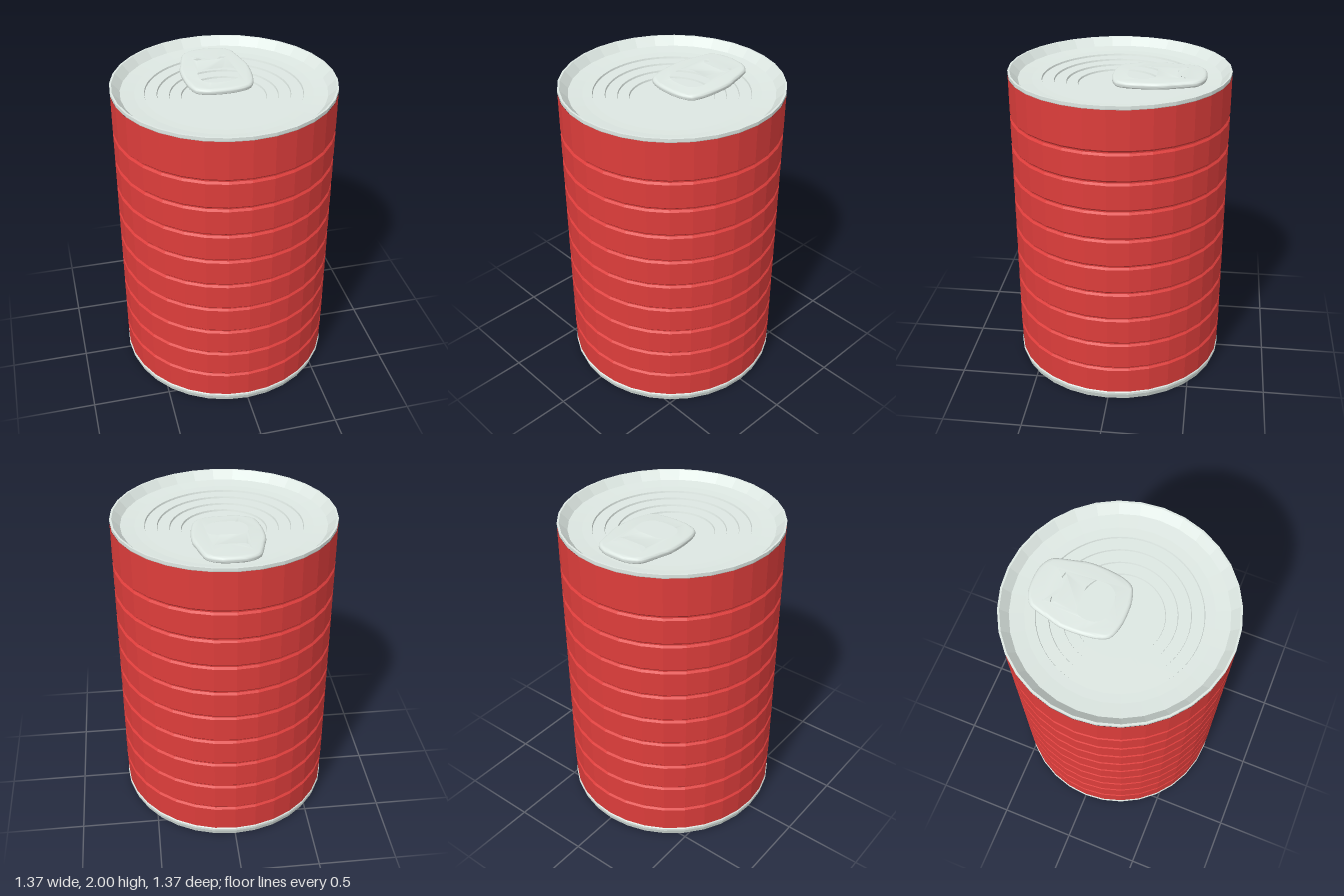
import * as THREE from 'three';
import { toCreasedNormals } from 'three/addons/utils/BufferGeometryUtils.js';

const V = (x, y) => new THREE.Vector2(x, y);

// Faceted surface of revolution from [radius, height] pairs
function turned(name, profile, segments, material) {
  const geometry = new THREE.LatheGeometry(profile.map(([r, y]) => V(r, y)), segments);
  const mesh = new THREE.Mesh(geometry, material);
  mesh.name = name;
  return mesh;
}

// Closed smooth outline mirrored across x = 0, from the points of its +x half
function mirroredLoop(half) {
  const left = half.filter(([x]) => x > 0).reverse().map(([x, y]) => [-x, y]);
  const points = [...half, ...left].map(([x, y]) => new THREE.Vector3(x, y, 0));
  return new THREE.CatmullRomCurve3(points, true, 'centripetal')
    .getPoints(56).slice(0, -1).map((p) => V(p.x, p.y));
}

export function createModel() {
  const can = new THREE.Group();
  can.name = 'tinCan';
  const red = new THREE.MeshStandardMaterial({ color: 0xdd3d3b, flatShading: true });
  const metal = new THREE.MeshStandardMaterial({ color: 0xdde7e2, flatShading: true });
  const tabMetal = new THREE.MeshStandardMaterial({ color: 0xdde7e2 });

  // Red wall with nine evenly spaced grooves
  const wall = [[0.68, 0.055]];
  for (let i = 0; i < 9; i++) {
    const y = 0.24 + i * 0.185;
    wall.push([0.685, y - 0.016], [0.674, y - 0.004], [0.674, y + 0.004], [0.685, y + 0.016]);
  }
  wall.push([0.685, 1.977]);
  can.add(turned('wall', wall, 32, red));

  // Top rim and sloping ledge of the recessed lid
  can.add(turned('topRim', [
    [0.683, 1.975], [0.685, 1.98], [0.685, 2], [0.673, 2],
    [0.625, 1.95], [0.54, 1.942], [0.485, 1.94],
  ], 32, metal));

  // Lid panel, stepping down ring by ring
  const panel = [[0.5, 1.939]];
  let level = 1.939;
  for (const r of [0.48, 0.405, 0.33, 0.26]) {
    panel.push([r, level], [r - 0.003, level - 0.011]);
    level -= 0.011;
  }
  panel.push([0, level]);
  can.add(turned('lidPanel', panel, 64, metal));

  // Bottom rim with a recessed, ringed base
  can.add(turned('base', [
    [0, 0.06], [0.425, 0.06], [0.445, 0.045], [0.49, 0.045], [0.515, 0.06],
    [0.545, 0.06], [0.56, 0.05], [0.635, 0.05], [0.655, 0], [0.673, 0],
    [0.685, 0.035], [0.685, 0.05], [0.676, 0.062],
  ], 32, metal));

  // Pull tab outline; shape y becomes -z
  const outline = new THREE.Shape(mirroredLoop([
    [0, 0.535], [0.09, 0.525], [0.155, 0.485], [0.18, 0.42], [0.197, 0.35],
    [0.215, 0.28], [0.215, 0.16], [0.195, 0.04], [0.165, -0.01], [0.09, -0.038], [0, -0.045],
  ]));

  // Finger hole
  outline.holes.push(new THREE.Path(mirroredLoop([
    [0, 0.25], [0.08, 0.248], [0.13, 0.22], [0.145, 0.16],
    [0.138, 0.1], [0.1, 0.05], [0.05, 0.033], [0, 0.03],
  ])));

  // Notched opening near the nose
  const notch = new THREE.Path();
  notch.moveTo(-0.118, 0.45);
  notch.quadraticCurveTo(-0.1, 0.45, -0.06, 0.405);
  notch.quadraticCurveTo(0, 0.345, 0.06, 0.405);
  notch.quadraticCurveTo(0.1, 0.45, 0.118, 0.45);
  notch.bezierCurveTo(0.135, 0.38, 0.12, 0.335, 0.06, 0.335);
  notch.lineTo(-0.06, 0.335);
  notch.bezierCurveTo(-0.12, 0.335, -0.135, 0.38, -0.118, 0.45);
  outline.holes.push(notch);

  const tabGeometry = new THREE.ExtrudeGeometry(outline, {
    depth: 0.004, curveSegments: 8,
    bevelEnabled: true, bevelSize: 0.02, bevelOffset: -0.02, bevelThickness: 0.018, bevelSegments: 4,
  });
  tabGeometry.rotateX(-Math.PI / 2);
  const tab = new THREE.Mesh(toCreasedNormals(tabGeometry, 0.8), tabMetal);
  tab.name = 'pullTab';
  tab.position.y = 1.948;
  tab.rotation.x = 0.025;
  can.add(tab);

  return can;
}
